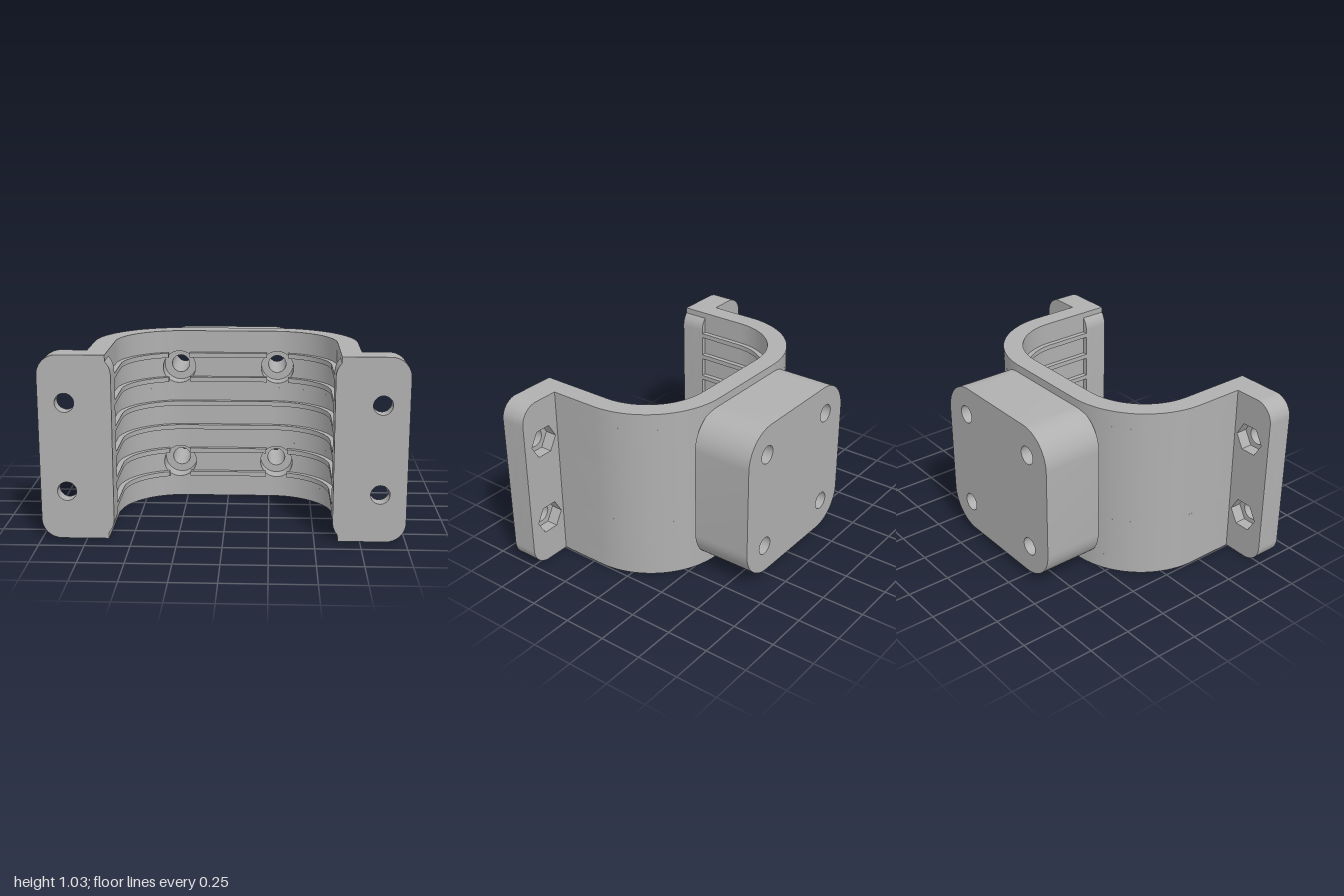
import * as THREE from 'three';
import { toCreasedNormals } from 'three/addons/utils/BufferGeometryUtils.js';
import { ParametricGeometry } from 'three/addons/geometries/ParametricGeometry.js';

const H = 1.03;                 // clamp height
const CX = 0.26, CZ = 0.2;      // centre of the bend arcs
const OUT = 0.485, IN = 0.37, RIB = 0.34; // bend radii
const FLANGE_Z = 0.48, FRONT = 0.63;
const HX = 0.295, HOLES_Y = [0.22, 0.81], BORE = 0.097, PATCH = 0.125, BOLT = 0.053;

const grey = new THREE.MeshStandardMaterial({ color: 0xb0b0b0 });
grey.name = 'machined grey';

const v2 = (x, y) => new THREE.Vector2(x, y);

// Points on an arc between two angles
function arc(cx, cy, r, a0, a1, n = 16) {
  return Array.from({ length: n + 1 }, (_, i) => {
    const a = a0 + (a1 - a0) * i / n;
    return v2(cx + r * Math.cos(a), cy + r * Math.sin(a));
  });
}

function extrude(points, depth, holes = []) {
  const shape = new THREE.Shape(points);
  holes.forEach(h => shape.holes.push(new THREE.Path(h)));
  const g = new THREE.ExtrudeGeometry(shape, { depth, bevelEnabled: false });
  return toCreasedNormals(g, 0.6);
}

// Depth of the bent wall at a given x
function wallZ(x, r) {
  const d = Math.max(0, Math.abs(x) - CX);
  return CZ - Math.sqrt(r * r - d * d);
}

// Plan line of one side, from x0 round the bend and along the leg
function sideLine(r, x0, s) {
  const a0 = Math.asin((x0 - CX) / r);
  const pts = arc(CX, CZ, r, a0 - Math.PI / 2, 0, 28);
  pts.push(v2(CX + r, FLANGE_Z));
  return pts.map(p => v2(p.x * s, p.y));
}

const fullLine = r => [...sideLine(r, CX, -1).reverse(), ...sideLine(r, CX, 1)];

// Upright slab between two plan lines
function slab(outer, inner, y0, y1) {
  const g = extrude([...outer, ...inner.reverse()], y1 - y0);
  return g.rotateX(Math.PI / 2).translate(0, y1, 0);
}

const fullSlab = (ro, ri, y0, y1) => slab(fullLine(ro), fullLine(ri), y0, y1);
const sideSlab = (ro, ri, x0, s, y0, y1) => slab(sideLine(ro, x0, s), sideLine(ri, x0, s), y0, y1);
function flatSlab(ro, ri, x, y0, y1) {
  return new THREE.BoxGeometry(2 * x, y1 - y0, ro - ri)
    .translate(0, (y0 + y1) / 2, CZ - (ro + ri) / 2);
}

// Square piece of bent wall pierced by a round bore
function piercedFace(cx, cy, r, dir) {
  return new ParametricGeometry((u, v, t) => {
    const a = dir * u * Math.PI * 2, c = Math.cos(a), s = Math.sin(a);
    const k = BORE + (PATCH / Math.max(Math.abs(c), Math.abs(s)) - BORE) * v;
    const x = cx + k * c;
    t.set(x, cy + k * s, wallZ(x, r));
  }, 64, 6);
}

function boreWall(cx, cy) {
  return new ParametricGeometry((u, v, t) => {
    const a = u * Math.PI * 2, x = cx + BORE * Math.cos(a);
    const z0 = wallZ(x, IN), z1 = wallZ(x, OUT);
    t.set(x, cy + BORE * Math.sin(a), z0 + (z1 - z0) * v);
  }, 64, 1);
}

// Flange outline: rounded plate with its inner corners filled up to the wall
function flangeOutline(s) {
  const r = 0.11, wall = CX + IN, x = 0.6 + r, P = Math.PI;
  const a = Math.acos((x - wall) / r);
  return [
    v2(wall, 0),
    ...arc(1 - r, r, r, -P / 2, 0), ...arc(1 - r, H - r, r, 0, P / 2),
    v2(wall, H),
    ...arc(x, H - r, r, P - a, P, 8), ...arc(x, r, r, P, P + a, 8),
  ].map(p => v2(p.x * s, p.y));
}

const ring = (x, y, r, n) => arc(x, y, r, 0, 2 * Math.PI, n).slice(0, n);

export function createModel() {
  const model = new THREE.Group();
  model.name = 'clampBracket';
  const group = name => {
    const g = new THREE.Group();
    g.name = name;
    model.add(g);
    return g;
  };
  const add = (parent, name, geometry) => {
    const m = new THREE.Mesh(geometry, grey);
    m.name = name;
    parent.add(m);
  };

  // Curved wall: plain bands above, between and below the bores
  const wall = group('curvedWall');
  const [lo, hi] = HOLES_Y;
  [[0, lo - PATCH], [lo + PATCH, hi - PATCH], [hi + PATCH, H]].forEach(([y0, y1]) =>
    add(wall, 'wallBand', fullSlab(OUT, IN, y0, y1)));

  // Curved wall: rows with counterbores
  for (const y of HOLES_Y) {
    add(wall, 'wallCentre', flatSlab(OUT, IN, HX - PATCH, y - PATCH, y + PATCH));
    for (const s of [-1, 1]) {
      add(wall, 'wallSide', sideSlab(OUT, IN, HX + PATCH, s, y - PATCH, y + PATCH));
      add(wall, 'boreInnerFace', piercedFace(s * HX, y, IN, -1));
      add(wall, 'boreOuterFace', piercedFace(s * HX, y, OUT, 1));
      add(wall, 'counterbore', boreWall(s * HX, y));
    }
  }

  // Grip ribs, interrupted where a counterbore passes
  const ribs = group('gripRibs');
  for (let i = 0; i < 6; i++) {
    const y = 0.132 + i * 0.148, top = y + 0.028, root = IN + 0.003;
    if (i === 2 || i === 3) {
      add(ribs, 'rib', fullSlab(root, RIB, y, top));
      continue;
    }
    add(ribs, 'ribCentre', flatSlab(root, RIB, HX - 0.063, y, top));
    for (const s of [-1, 1]) add(ribs, 'ribSide', sideSlab(root, RIB, HX + 0.063, s, y, top));
  }

  // Flanges: bolt holes in the front layer, hexagonal nut pockets in the back
  const pocket = 0.07;
  for (const s of [-1, 1]) {
    const flange = group(s > 0 ? 'leftFlange' : 'rightFlange');
    const holes = (r, n) => [0.27, 0.768].map(y => ring(s * 0.855, y, r, n));
    add(flange, 'flangeFront', extrude(flangeOutline(s), FRONT - FLANGE_Z - pocket, holes(BOLT, 32))
      .translate(0, 0, FLANGE_Z + pocket));
    add(flange, 'flangeNutPockets', extrude(flangeOutline(s), pocket, holes(0.093, 6))
      .translate(0, 0, FLANGE_Z));
  }

  // Rear mounting block with four through holes
  const w = 0.468, r = 0.2, c = w - r, cy = H / 2;
  const corners = [[1, 1], [-1, 1], [-1, -1], [1, -1]];
  const outline = corners.flatMap(([sx, sy], i) =>
    arc(sx * c, cy + sy * c, r, i * Math.PI / 2, (i + 1) * Math.PI / 2));
  const bolts = corners.map(([sx, sy]) => ring(sx * HX, cy + sy * HX, BOLT, 32));
  add(model, 'mountingBlock', extrude(outline, FRONT - 0.275, bolts).translate(0, 0, -FRONT));

  return model;
}
